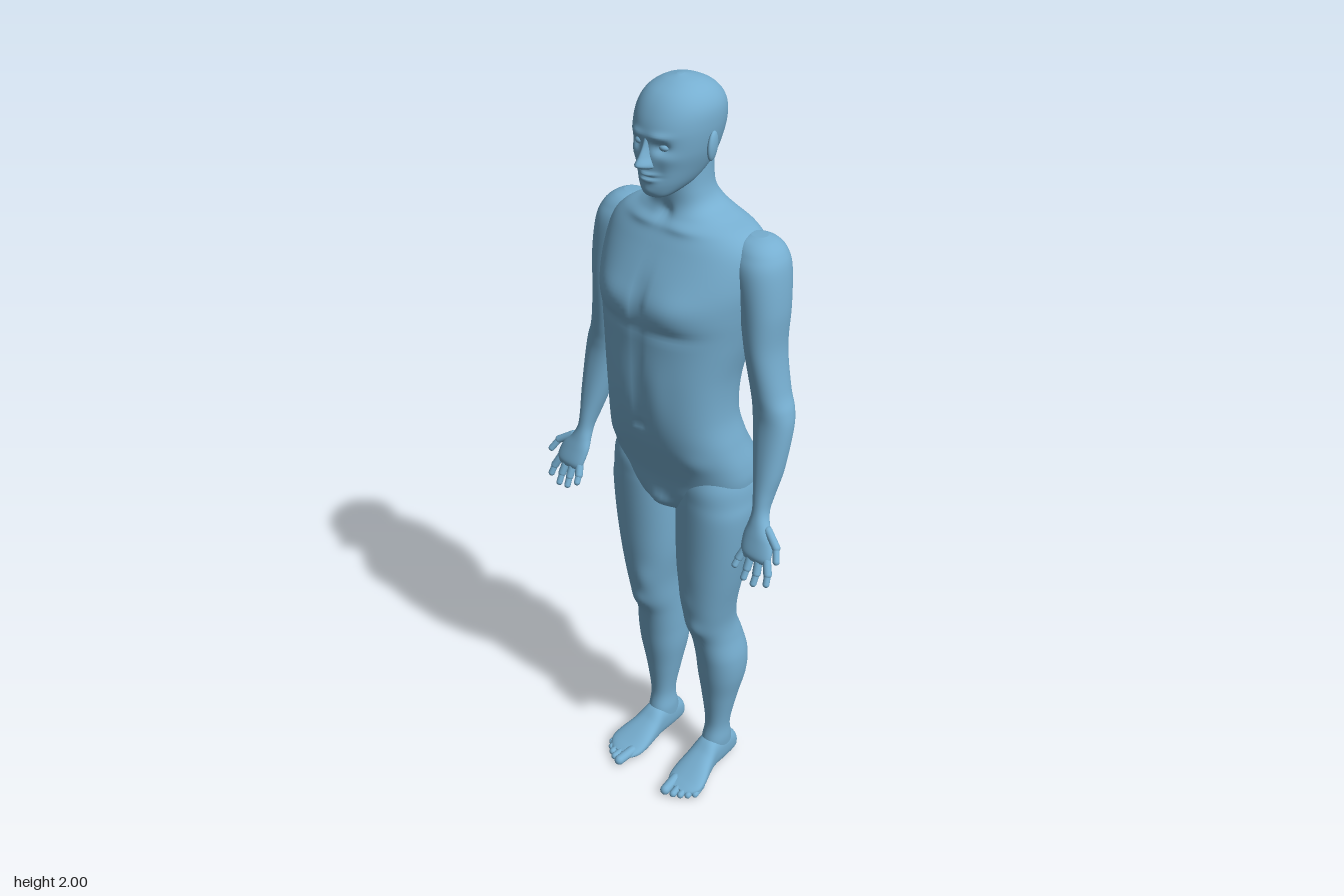
import * as THREE from 'three';

const skin = new THREE.MeshStandardMaterial({ color: 0x76aed0 });
skin.name = 'skyBlue';

const catmull = (a, b, c, d, t) =>
  0.5 * (2 * b + (c - a) * t + (2 * a - 5 * b + 4 * c - d) * t * t + (3 * b - a - 3 * c + d) * t * t * t);

// Smooth skin over sections [t, aMin, aMax, bMin, bMax, bMiddle].
// Rings run along y (a = x, b = z), or along z (a = x, b = y) when axis is 'z'.
// bumps: [x, t, radiusX, radiusT, push, side]; side 1 is +b, -1 is -b.
function loft(sections, { axis = 'y', power = 2.2, mirror = 1, bumps = [], steps = 8, around = 56 } = {}) {
  const rows = sections.map(s => (s.length > 5 ? s : [...s, (s[3] + s[4]) / 2]));
  const at = i => rows[Math.min(Math.max(i, 0), rows.length - 1)];
  const pos = [], idx = [];
  const put = (a, t, b) => pos.push(a * mirror, ...(axis === 'y' ? [t, b] : [b, t]));
  const count = (rows.length - 1) * steps + 1;
  for (let r = 0; r < count; r++) {
    const i = Math.min(Math.floor(r / steps), rows.length - 2), f = r / steps - i;
    const [t, a0, a1, b0, b1, bc] = rows[0].map((_, k) => catmull(at(i - 1)[k], at(i)[k], at(i + 1)[k], at(i + 2)[k], f));
    for (let j = 0; j < around; j++) {
      const q = (j / around) * Math.PI * 2, c = Math.cos(q), s = Math.sin(q);
      const a = (a0 + a1) / 2 + ((a1 - a0) / 2) * Math.sign(c) * Math.abs(c) ** (2 / power);
      let b = bc + (s > 0 ? b1 - bc : bc - b0) * Math.sign(s) * Math.abs(s) ** (2 / power);
      for (const [x, y, rx, ry, push, side] of bumps)
        b += side * push * Math.max(0, side * s) * Math.exp(-(((a - x) / rx) ** 2) - ((t - y) / ry) ** 2);
      put(a, t, b);
      const n = r * around + j, m = r * around + ((j + 1) % around);
      if (r < count - 1) idx.push(n, n + around, m, m, n + around, m + around);
    }
  }
  // end caps
  for (const [row, r] of [[rows[0], 0], [rows[rows.length - 1], count - 1]]) {
    const centre = pos.length / 3;
    put((row[1] + row[2]) / 2, row[0], (row[3] + row[4]) / 2);
    for (let j = 0; j < around; j++) {
      const n = r * around + j, m = r * around + ((j + 1) % around);
      idx.push(...(r === 0 ? [centre, n, m] : [centre, m, n]));
    }
  }
  // make the faces point outward whatever the axis or mirroring
  let volume = 0;
  const p = k => new THREE.Vector3().fromArray(pos, idx[k] * 3);
  for (let k = 0; k < idx.length; k += 3) volume += p(k).dot(p(k + 1).cross(p(k + 2)));
  if (volume < 0) idx.reverse();
  const g = new THREE.BufferGeometry();
  g.setAttribute('position', new THREE.Float32BufferAttribute(pos, 3));
  g.setIndex(idx);
  g.computeVertexNormals();
  return g;
}

// rows [y, halfWidth, back, front, middle] become symmetric sections
const symmetric = rows => rows.map(([y, w, b0, b1, bc]) => [y, -w, w, b0, b1, bc ?? (b0 + b1) / 2]);
const pair = list => list.flatMap(b => [b, [-b[0], ...b.slice(1)]]);

export function createModel() {
  const model = new THREE.Group();
  model.name = 'standingFigure';
  const add = (name, geometry, parent = model) => {
    const mesh = new THREE.Mesh(geometry, skin);
    mesh.name = name;
    parent.add(mesh);
    return mesh;
  };
  const ball = (name, parent, x, y, z, rx, ry, rz) => {
    const m = add(name, new THREE.SphereGeometry(1, 24, 16), parent);
    m.position.set(x, y, z);
    m.scale.set(rx, ry, rz);
    return m;
  };
  // rounded segment between two points
  const segment = (name, parent, from, to, radius) => {
    const a = new THREE.Vector3(...from), d = new THREE.Vector3(...to).sub(a);
    const m = add(name, new THREE.CapsuleGeometry(radius, d.length(), 6, 14), parent);
    m.position.copy(a).addScaledVector(d, 0.5);
    m.quaternion.setFromUnitVectors(new THREE.Vector3(0, 1, 0), d.normalize());
  };

  // torso and neck
  add('torso', loft(symmetric([
    [0.89, 0.07, -0.07, 0.05], [0.91, 0.13, -0.11, 0.07], [0.95, 0.19, -0.145, 0.082],
    [1.0, 0.203, -0.16, 0.092], [1.05, 0.2, -0.15, 0.108], [1.12, 0.186, -0.12, 0.132],
    [1.2, 0.173, -0.102, 0.147], [1.3, 0.177, -0.112, 0.152], [1.4, 0.197, -0.132, 0.15, -0.01],
    [1.48, 0.212, -0.146, 0.15, -0.03], [1.55, 0.22, -0.148, 0.13, -0.04], [1.62, 0.213, -0.143, 0.092, -0.045],
    [1.66, 0.18, -0.132, 0.068, -0.045], [1.685, 0.125, -0.118, 0.052, -0.045], [1.71, 0.083, -0.104, 0.043, -0.035],
    [1.75, 0.066, -0.085, 0.042], [1.82, 0.062, -0.085, 0.04],
  ]), {
    power: 2.3, around: 96, bumps: [
      ...pair([
        [0.095, 1.5, 0.075, 0.045, 0.014, 1], [0.09, 1.435, 0.07, 0.016, -0.006, 1],
        [0.055, 1.27, 0.03, 0.08, 0.004, 1], [0.08, 1.0, 0.06, 0.06, 0.012, -1],
        [0.09, 1.54, 0.06, 0.08, 0.01, -1], [0.05, 1.25, 0.03, 0.12, 0.006, -1],
        [0.14, 1.08, 0.04, 0.03, 0.006, 1], [0.06, 1.668, 0.05, 0.012, 0.007, 1],
      ]),
      [0, 1.5, 0.014, 0.06, -0.01, 1], [0, 1.3, 0.012, 0.12, -0.005, 1], [0, 1.17, 0.012, 0.012, -0.01, 1],
      [0, 1.38, 0.026, 0.22, -0.018, -1], [0, 0.97, 0.02, 0.075, -0.045, -1],
      [0, 1.69, 0.018, 0.018, -0.01, 1], [0, 0.92, 0.03, 0.03, 0.014, 1],
    ],
  }));

  // head with brow, eye sockets, lips and chin
  const head = new THREE.Group();
  head.name = 'head';
  model.add(head);
  add('skull', loft(symmetric([
    [1.742, 0.016, 0.055, 0.09], [1.75, 0.036, 0.03, 0.102], [1.775, 0.058, -0.03, 0.11, 0.03],
    [1.81, 0.074, -0.075, 0.111, 0.01], [1.85, 0.086, -0.102, 0.111], [1.9, 0.093, -0.117, 0.109],
    [1.94, 0.09, -0.112, 0.094], [1.97, 0.073, -0.09, 0.07], [1.99, 0.044, -0.055, 0.036], [2.0, 0.006, -0.012, 0.004],
  ]), {
    around: 96, steps: 12, power: 2.15, bumps: [
      ...pair([
        [0.036, 1.865, 0.017, 0.013, -0.014, 1], [0.034, 1.89, 0.024, 0.009, 0.006, 1],
        [0.055, 1.84, 0.018, 0.016, 0.004, 1], [0.032, 1.805, 0.014, 0.022, -0.004, 1],
      ]),
      [0, 1.802, 0.022, 0.005, 0.007, 1], [0, 1.789, 0.02, 0.005, 0.006, 1], [0, 1.796, 0.024, 0.003, -0.004, 1],
      [0, 1.76, 0.02, 0.012, 0.004, 1],
    ],
  }), head);
  add('nose', loft(symmetric([
    [1.814, 0.01, 0.08, 0.115], [1.819, 0.019, 0.08, 0.13], [1.828, 0.019, 0.08, 0.143],
    [1.845, 0.013, 0.08, 0.132], [1.865, 0.01, 0.08, 0.12], [1.888, 0.012, 0.08, 0.11],
  ]), { power: 1.8, around: 32 }), head);

  const toes = [[0.083, 0.11, 0.088, 0.158, 0.014], [0.107, 0.11, 0.112, 0.152, 0.01],
    [0.125, 0.1, 0.13, 0.142, 0.0095], [0.141, 0.09, 0.146, 0.129, 0.009], [0.155, 0.08, 0.159, 0.113, 0.009]];
  const fingers = [
    [[0.35, 0.9, 0.078], [0.364, 0.87, 0.09], [0.368, 0.848, 0.1]],
    [[0.328, 0.895, 0.08], [0.333, 0.86, 0.094], [0.333, 0.836, 0.106]],
    [[0.304, 0.895, 0.08], [0.304, 0.862, 0.095], [0.303, 0.84, 0.106]],
    [[0.282, 0.9, 0.078], [0.274, 0.877, 0.09], [0.271, 0.86, 0.101]],
    [[0.33, 0.962, 0.05], [0.368, 0.938, 0.066], [0.382, 0.912, 0.082]], // thumb
  ];

  for (const [side, s] of [['left', 1], ['right', -1]]) {
    const ear = ball(side + 'Ear', head, s * 0.094, 1.857, -0.004, 0.009, 0.034, 0.02);
    ear.rotation.set(-0.15, s * 0.25, 0);
    ball(side + 'Eye', head, s * 0.035, 1.865, 0.087, 0.014, 0.009, 0.012);

    // arm from shoulder to palm
    const arm = new THREE.Group();
    arm.name = side + 'Arm';
    model.add(arm);
    add(side + 'ArmAndPalm', loft([
      [1.662, 0.175, 0.215, -0.07, -0.035], [1.652, 0.155, 0.24, -0.092, -0.008], [1.63, 0.15, 0.263, -0.106, 0.012],
      [1.59, 0.155, 0.278, -0.11, 0.027], [1.5, 0.18, 0.287, -0.098, 0.031], [1.4, 0.2, 0.286, -0.087, 0.03],
      [1.3, 0.215, 0.303, -0.081, 0.02], [1.25, 0.22, 0.321, -0.076, 0.016], [1.2, 0.227, 0.328, -0.064, 0.019],
      [1.1, 0.25, 0.324, -0.036, 0.038], [1.04, 0.266, 0.316, -0.011, 0.05], [1.0, 0.274, 0.315, 0.012, 0.058],
      [0.97, 0.272, 0.328, 0.027, 0.068], [0.94, 0.267, 0.352, 0.042, 0.08], [0.905, 0.271, 0.36, 0.06, 0.093],
      [0.888, 0.278, 0.352, 0.07, 0.092],
    ], { mirror: s }), arm);
    for (const points of fingers) {
      const [a, b, c] = points.map(([x, y, z]) => [x * s, y, z]);
      segment(side + 'FingerBase', arm, a, b, 0.0105);
      segment(side + 'FingerTip', arm, b, c, 0.0085);
    }

    // leg from hip to ankle
    const leg = new THREE.Group();
    leg.name = side + 'Leg';
    model.add(leg);
    add(side + 'ThighAndCalf', loft([
      [1.06, 0.06, 0.18, -0.11, 0.06], [1.0, 0.025, 0.202, -0.158, 0.078], [0.95, 0.008, 0.208, -0.152, 0.08],
      [0.9, 0.005, 0.211, -0.13, 0.08], [0.8, 0.008, 0.201, -0.11, 0.078], [0.7, 0.015, 0.185, -0.1, 0.075],
      [0.6, 0.03, 0.165, -0.09, 0.067], [0.53, 0.035, 0.155, -0.097, 0.054], [0.47, 0.038, 0.158, -0.116, 0.032],
      [0.4, 0.04, 0.17, -0.13, 0.018], [0.33, 0.043, 0.168, -0.126, 0.008], [0.25, 0.055, 0.152, -0.105, -0.004],
      [0.15, 0.07, 0.135, -0.085, -0.012], [0.09, 0.066, 0.136, -0.092, 0.0], [0.04, 0.068, 0.132, -0.108, 0.005],
    ], {
      mirror: s, bumps: [[0.1, 0.535, 0.028, 0.03, 0.008, 1], [0.1, 0.53, 0.03, 0.05, -0.006, -1],
        [0.07, 0.62, 0.03, 0.04, 0.005, 1], [0.075, 0.4, 0.03, 0.07, 0.005, -1]],
    }), leg);
    add(side + 'Foot', loft([
      [-0.117, 0.085, 0.115, 0.018, 0.045], [-0.104, 0.073, 0.128, 0.004, 0.075], [-0.06, 0.067, 0.135, 0, 0.1],
      [-0.01, 0.065, 0.138, 0, 0.102], [0.03, 0.06, 0.148, 0.002, 0.075], [0.07, 0.056, 0.162, 0.001, 0.052],
      [0.1, 0.058, 0.166, 0, 0.036], [0.12, 0.066, 0.155, 0.002, 0.027], [0.135, 0.076, 0.135, 0.006, 0.02],
    ], { axis: 'z', power: 2.4, mirror: s }), leg);
    for (const [x0, z0, x1, z1, r] of toes)
      segment(side + 'Toe', leg, [s * x0, r + 0.006, z0], [s * x1, r, z1], r);
  }
  return model;
}
